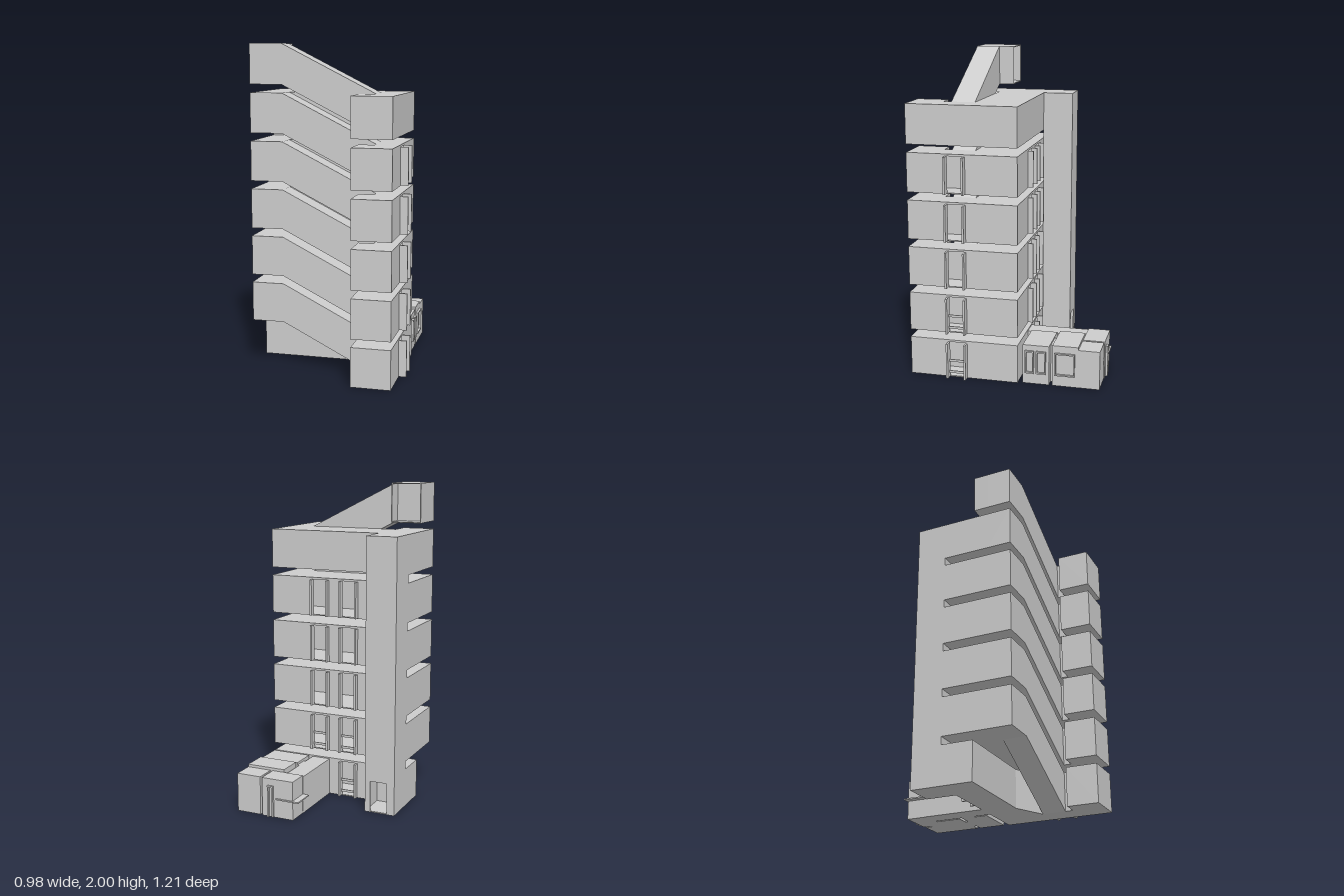
import * as THREE from 'three';

const PITCH = 0.293, H = 0.243, T = 0.006;

export function createModel() {
  const model = new THREE.Group();
  const plaster = new THREE.MeshStandardMaterial({ color: 0xcccccc });
  plaster.name = 'plasterGrey';

  const add = (parent, name, geo) => {
    const m = new THREE.Mesh(geo, plaster);
    m.name = name;
    parent.add(m);
    return m;
  };
  const box = (parent, name, x0, x1, y0, y1, z0, z1) => {
    const m = add(parent, name, new THREE.BoxGeometry(x1 - x0, y1 - y0, z1 - z0));
    m.position.set((x0 + x1) / 2, (y0 + y1) / 2, (z0 + z1) / 2);
    return m;
  };
  const group = (name) => {
    const g = new THREE.Group();
    g.name = name;
    model.add(g);
    return g;
  };
  const shapeOf = (pts) => new THREE.Shape(pts.map(([a, b]) => new THREE.Vector2(a, b)));
  const rect = (a0, a1, b0, b1) => [[a0, b0], [a1, b0], [a1, b1], [a0, b1]];
  const extrude = (shape, depth) => new THREE.ExtrudeGeometry(shape, { depth, bevelEnabled: false });

  // Hollow storey: floor, ceiling and thin walls over a plan of [x, z] corners.
  // holes[edge] lists openings as [s0, s1, y0, y1] along that wall.
  function shell(parent, plan, y, h, holes = {}) {
    for (const [name, top] of [['floor', y + T], ['ceiling', y + h]]) {
      add(parent, name, extrude(shapeOf(plan), T).rotateX(Math.PI / 2)).position.y = top;
    }
    plan.forEach(([x, z], i) => {
      const [x2, z2] = plan[(i + 1) % plan.length];
      const s = shapeOf(rect(0, Math.hypot(x2 - x, z2 - z), 0, h));
      for (const o of holes[i] || []) s.holes.push(new THREE.Path(shapeOf(rect(...o)).getPoints()));
      const wall = add(parent, 'wall', extrude(s, T));
      wall.position.set(x, y, z);
      wall.rotation.y = Math.atan2(-(z2 - z), x2 - x);
    });
  }

  // Storeys
  const front = [[-0.49, -0.08], [0.437, -0.08], [0.437, 0.607], [0.195, 0.607], [0.195, 0.41], [0.29, 0.41], [0.29, 0.215]];
  const upperPlan = [...front, [-0.49, 0.215]];
  const groundPlan = [...front, [0.1, 0.12], [-0.49, 0.12]];
  const backWindows = [[-0.16, -0.04], [0.037, 0.157]];
  const F = 0.012;
  for (let i = 0; i < 6; i++) {
    const y = i * PITCH, g = group('storey' + i);
    const open = i < 5 ? {
      0: backWindows.map(([a, b]) => [a + 0.49 + F, b + 0.49 - F, 0.007, 0.23]),
      1: [[0.32 + F, 0.445 - F, 0.007, 0.23]],
    } : {};
    shell(g, i ? upperPlan : groundPlan, y, H, open);
    if (i === 5) continue;
    // Window fins on the back and side walls
    for (const [a, b] of backWindows) for (const x of [a, b - F]) {
      box(g, 'backFin', x, x + F, y + 0.003, y + 0.23, -0.113, -0.075);
    }
    for (const z of [0.24, 0.365 - F]) box(g, 'sideFin', 0.433, 0.485, y + 0.003, y + 0.23, z, z + F);
    // Slatted rails on the two lowest storeys
    if (i < 2) for (let k = 0; k < 2; k++) {
      const r = y + 0.03 + k * 0.075;
      for (const [a, b] of backWindows) box(g, 'backRail', a + F, b - F, r, r + 0.015, -0.09, -0.084);
      box(g, 'sideRail', 0.445, 0.451, r, r + 0.015, 0.252, 0.353);
    }
  }

  // Sloping passages that join each storey to the one below
  const ramps = group('ramps');
  for (let i = 1; i <= 6; i++) {
    const b = i * PITCH, t = b + H;
    const profile = [[-0.49, b], [-0.29, b], [0.29, b - PITCH], [0.29, t - PITCH], [-0.29, t], [-0.49, t]];
    add(ramps, 'ramp', extrude(shapeOf(profile), 0.147)).position.z = 0.215;
  }

  // Open-ended passage at the head of the top ramp
  const head = shapeOf(rect(-0.49, -0.295, 6 * PITCH, 6 * PITCH + H));
  head.holes.push(new THREE.Path(shapeOf(rect(-0.484, -0.301, 6 * PITCH + T, 6 * PITCH + H - T)).getPoints()));
  add(model, 'roofPassage', extrude(head, 0.095)).position.z = 0.12;

  // Lift tower with a doorway
  shell(group('liftTower'), [[-0.49, -0.27], [-0.295, -0.27], [-0.295, -0.08], [-0.49, -0.08]],
    0, 5 * PITCH + H, { 0: [[0.05, 0.16, 0.007, 0.2]] });

  // Low rooms behind the tower
  const annex = group('annex');
  [
    ['corridor', 0.037, 0.157, 0, 0.235, -0.46, -0.08],
    ['corridorLink', 0.15, 0.18, 0, 0.235, -0.275, -0.19],
    ['nearRoom', 0.17, 0.425, 0, 0.25, -0.275, -0.11],
    ['roomLink', 0.25, 0.37, 0, 0.24, -0.3, -0.27],
    ['middleRoom', 0.17, 0.425, 0, 0.26, -0.455, -0.295],
    ['entrance', 0.04, 0.25, 0, 0.243, -0.592, -0.455],
    ['entranceLink', 0.245, 0.27, 0, 0.235, -0.54, -0.455],
    ['farRoom', 0.265, 0.425, 0, 0.243, -0.588, -0.455],
    ['sideLedge', 0, 0.045, 0.115, 0.123, -0.597, -0.455],
    ['backLedge', 0, 0.155, 0.115, 0.123, -0.6, -0.59],
    ['doorPost', 0.17, 0.18, 0, 0.2, -0.605, -0.59],
    ['doorPost', 0.2, 0.21, 0, 0.2, -0.605, -0.59],
    ['doorHead', 0.18, 0.2, 0.19, 0.2, -0.605, -0.59],
  ].forEach((p) => box(annex, ...p));

  // Projecting window frames on the low rooms
  for (const [z0, z1] of [[-0.435, -0.31], [-0.255, -0.195], [-0.18, -0.125]]) {
    const s = shapeOf(rect(z0, z1, 0.07, 0.215));
    s.holes.push(new THREE.Path(shapeOf(rect(z0 + 0.008, z1 - 0.008, 0.078, 0.207)).getPoints()));
    const frame = add(annex, 'windowFrame', extrude(s, 0.017));
    frame.rotation.y = -Math.PI / 2;
    frame.position.x = 0.44;
  }
  return model;
}
